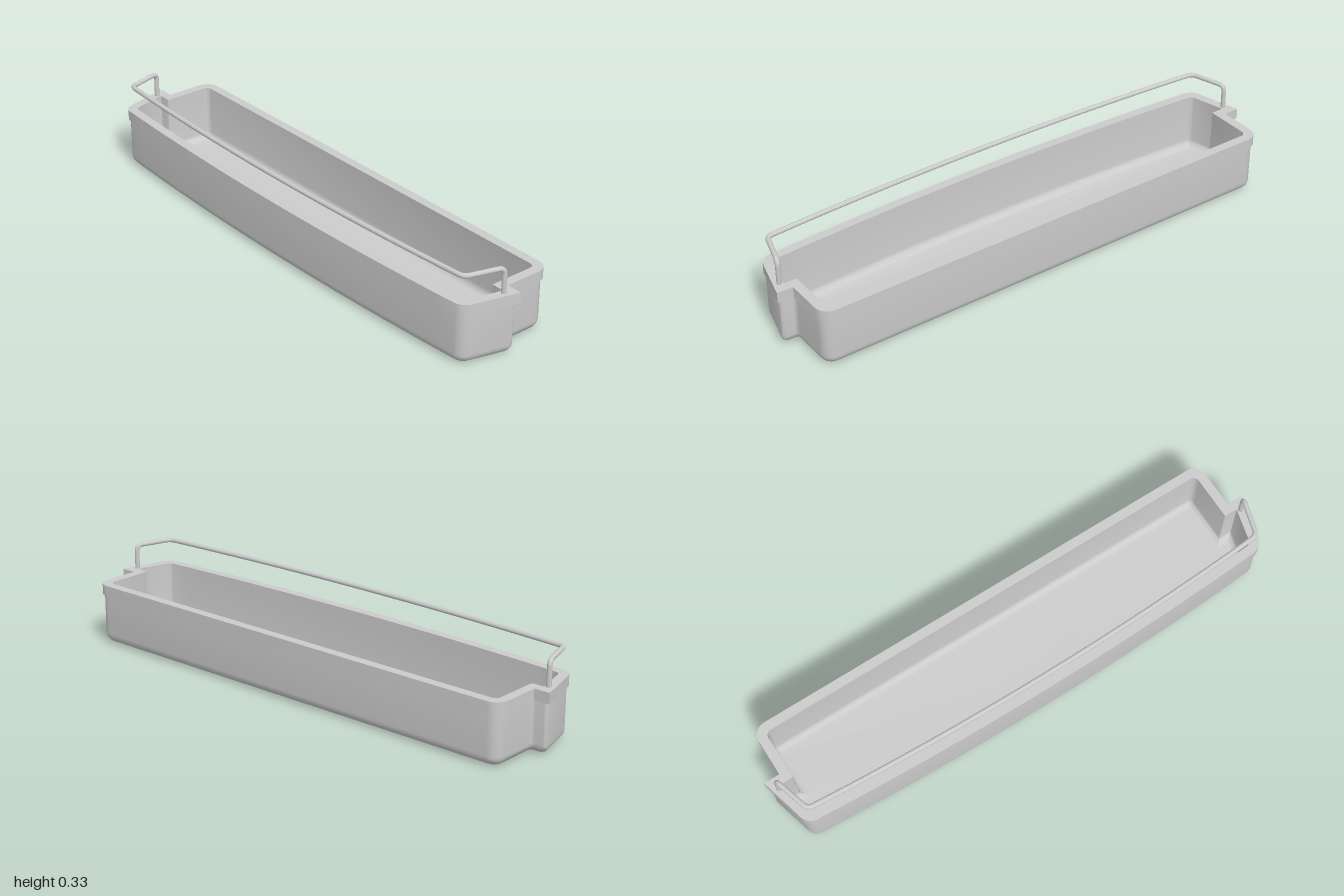
import * as THREE from 'three';
import { toCreasedNormals } from 'three/addons/utils/BufferGeometryUtils.js';

const V = (x, y, z) => new THREE.Vector3(x, y, z);

// Replaces a corner by a circular arc of radius r
function roundCorner(prev, p, next, r, n = 6) {
  const a = prev.clone().sub(p).normalize(), b = next.clone().sub(p).normalize();
  const turn = Math.PI - a.angleTo(b);
  const t = r * Math.tan(turn / 2), w = Math.cos(turn / 2);
  const A = p.clone().addScaledVector(a, t), B = p.clone().addScaledVector(b, t);
  const pts = [];
  for (let i = 0; i <= n; i++) {
    const u = i / n, k0 = (1 - u) ** 2, k1 = 2 * w * u * (1 - u), k2 = u * u;
    pts.push(V(0, 0, 0).addScaledVector(A, k0).addScaledVector(p, k1).addScaledVector(B, k2)
      .divideScalar(k0 + k1 + k2));
  }
  return pts;
}

// Plan outline of the rim: [x, z, corner kind]
function planCorners() {
  const half = [[0.214, 0.94, 'big'], [0.024, 0.94, 'step'], [0.024, 1, 'step'], [-0.182, 0.946, 'big']];
  const mirrored = half.map(([x, z, k]) => [x, -z, k]).reverse();
  const front = [];
  for (let i = 1; i < 16; i++) {
    const z = 0.946 * (1 - i / 8);
    front.push([-0.215 + 0.033 * (z / 0.946) ** 2, z, 'none']);
  }
  return [...half, ...front, ...mirrored];
}

// The outline moved inwards by d at height y
function ring(y, d, stepRadius) {
  const c = planCorners(), n = c.length;
  const normal = i => {
    const [x0, z0] = c[(i + n) % n], [x1, z1] = c[(i + 1) % n];
    return V(z0 - z1, 0, x1 - x0).normalize();
  };
  const pts = c.map(([x, z], i) => {
    const n1 = normal(i - 1), n2 = normal(i), k = d / (1 + n1.dot(n2));
    return V(x, y, z).addScaledVector(n1.add(n2), k);
  });
  return pts.flatMap((p, i) => {
    const kind = c[i][2];
    if (kind === 'none') return [p];
    const r = kind === 'big' ? Math.max(0.05 - d * 0.8, 0.012) : stepRadius;
    return roundCorner(pts[(i + n - 1) % n], p, pts[(i + 1) % n], r);
  });
}

// Skins a sequence of rings, leaving out collapsed triangles
function skin(rings) {
  const pos = [];
  const tri = (a, b, c) => {
    const area = b.clone().sub(a).cross(c.clone().sub(a)).length();
    if (area > 1e-9) for (const p of [a, b, c]) pos.push(p.x, p.y, p.z);
  };
  for (let j = 0; j < rings.length - 1; j++) {
    const lo = rings[j], hi = rings[j + 1], n = lo.length;
    for (let i = 0; i < n; i++) {
      const k = (i + 1) % n;
      tri(lo[i], hi[i], hi[k]);
      tri(lo[i], hi[k], lo[k]);
    }
  }
  const g = new THREE.BufferGeometry();
  g.setAttribute('position', new THREE.Float32BufferAttribute(pos, 3));
  return toCreasedNormals(g, 0.6);
}

export function createModel() {
  const group = new THREE.Group();
  const mat = new THREE.MeshStandardMaterial({ color: 0xcccccc });
  const add = (name, geo) => {
    const m = new THREE.Mesh(geo, mat);
    m.name = name;
    group.add(m);
  };

  // Tray: rounded underside, wall, stepped rim, inner wall and floor
  const BODY = 0.007, INNER = 0.035, R = 0.036, RI = 0.028, FLOOR = 0.016, SEG = 6;
  const rings = [];
  const centre = y => ring(y, 0, 0).map(() => V(-0.08, y, 0));
  rings.push(centre(0));
  for (let i = 0; i <= SEG; i++) {
    const a = (i / SEG) * Math.PI / 2;
    rings.push(ring(R * (1 - Math.cos(a)), BODY + R * (1 - Math.sin(a)), 0.014));
  }
  rings.push(ring(0.19, BODY, 0.014), ring(0.19, 0, 0), ring(0.23, 0, 0));
  rings.push(ring(0.23, INNER, 0.004), ring(0.19, INNER, 0.004));
  for (let i = SEG; i >= 0; i--) {
    const a = (i / SEG) * Math.PI / 2;
    rings.push(ring(FLOOR + RI * (1 - Math.cos(a)), INNER + 0.002 + RI * (1 - Math.sin(a)), 0.004));
  }
  rings.push(centre(FLOOR));
  add('tray', skin(rings));

  // Retaining rail: two posts, slanted ends and a bowed front bar
  const top = 0.322, zc = 0.925;
  const bow = z => -0.194 + 0.034 * (z / zc) ** 2;
  const foot = V(-0.02, 0.17, 0.966), elbow = V(-0.02, top, 0.966), corner = V(bow(zc), top, zc);
  const bar = [];
  for (let i = 1; i < 16; i++) {
    const z = zc * (1 - i / 8);
    bar.push(V(bow(z), top, z));
  }
  const end = [foot, ...roundCorner(foot, elbow, corner, 0.02),
    ...roundCorner(elbow, corner, bar[0], 0.03)];
  const flip = end.map(p => V(p.x, p.y, -p.z)).reverse();
  const points = [...end, ...bar, ...flip];
  const path = new THREE.CurvePath();
  for (let i = 0; i < points.length - 1; i++) path.add(new THREE.LineCurve3(points[i], points[i + 1]));
  path.arcLengthDivisions = 800;
  add('rail', new THREE.TubeGeometry(path, 500, 0.009, 12));

  return group;
}
